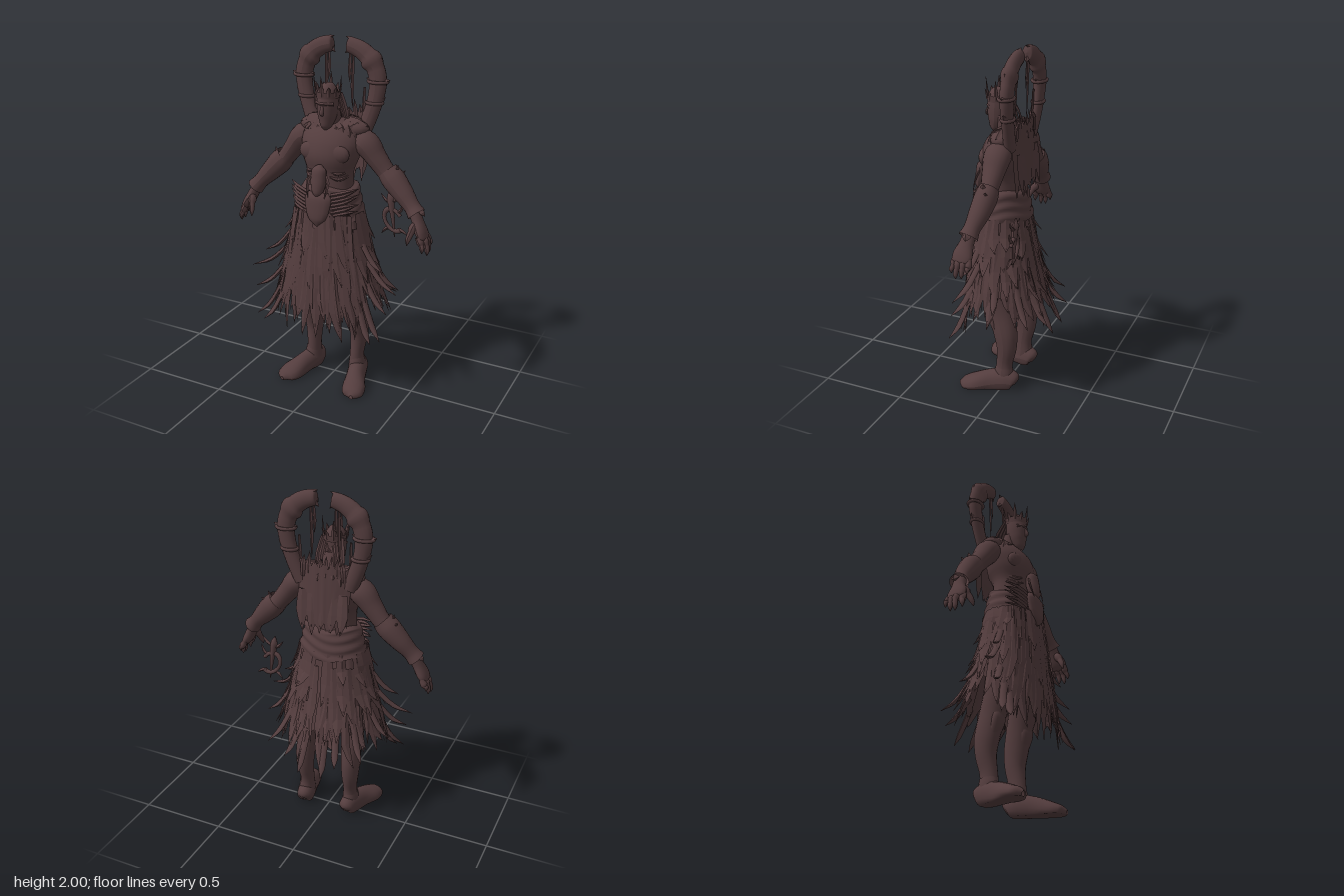
import * as THREE from 'three';

const bark = new THREE.MeshStandardMaterial({ color: 0x543d3e, side: THREE.DoubleSide });
bark.name = 'dark umber';
const X = new THREE.Vector3(1, 0, 0), Z = new THREE.Vector3(0, 0, 1);
let seed = 7;
const rnd = (a = 0, b = 1) => {
  seed = (seed * 16807) % 2147483647;
  return a + (b - a) * seed / 2147483647;
};
const mirror = (s, pts) => pts.map(p => [s * p[0], ...p.slice(1)]);

function add(parent, name, geo) {
  const m = new THREE.Mesh(geo, bark);
  m.name = name;
  parent.add(m);
  return m;
}

// grid surface from a rule (u around, v along)
function surface(fn, nu, nv, flat) {
  const pos = [], idx = [];
  for (let j = 0; j <= nv; j++) for (let i = 0; i <= nu; i++) pos.push(...fn(i / nu, j / nv));
  for (let j = 0; j < nv; j++) for (let i = 0; i < nu; i++) {
    const a = j * (nu + 1) + i, c = a + nu + 1;
    idx.push(a, a + 1, c, a + 1, c + 1, c);
  }
  let g = new THREE.BufferGeometry();
  g.setAttribute('position', new THREE.Float32BufferAttribute(pos, 3));
  g.setIndex(idx);
  if (flat) g = g.toNonIndexed();
  g.computeVertexNormals();
  return g;
}

// elliptical sweep through stations [x, y, z, half width, half depth]
function limb(parent, name, st, side = X, n = 18, flat = false) {
  const path = new THREE.CatmullRomCurve3(st.map(s => new THREE.Vector3(s[0], s[1], s[2])));
  const size = new THREE.CatmullRomCurve3(st.map(s => new THREE.Vector3(s[3], s[4], 0)));
  const nv = (st.length - 1) * (flat ? 2 : 4);
  return add(parent, name, surface((u, v) => {
    const c = path.getPoint(v), t = path.getTangent(v), r = size.getPoint(v);
    const s = side.clone().addScaledVector(t, -side.dot(t)).normalize();
    const nrm = t.clone().cross(s);
    const a = u * Math.PI * 2;
    c.addScaledVector(s, Math.max(r.x, 0) * Math.cos(a)).addScaledVector(nrm, Math.max(r.y, 0) * Math.sin(a));
    return [c.x, Math.max(c.y, 0), c.z];
  }, n, nv, flat));
}

// pointed flat strip
const blade = (parent, name, a, b, c, w, side = X, d = 0.006) =>
  limb(parent, name, [[...a, w * 0.7, d], [...b, w, d], [...c, 0.001, 0.001]], side, 4, true);

function ball(parent, name, p, s) {
  const m = add(parent, name, new THREE.SphereGeometry(1, 18, 12));
  m.position.set(...p);
  m.scale.set(...s);
}

// point on the flaring skirt at angle a (0 = front) and height y: flat in front, pointed behind
function skirtPoint(a, y, out = 0) {
  const t = 1.14 - y, c = Math.cos(a);
  const z = c > 0 ? (0.16 + 0.06 * t + out) * c ** 0.75 : -(0.125 + 0.08 * t + 0.22 * t * t + out) * (-c) ** 1.2;
  return [(0.18 + 0.23 * t + out) * Math.sin(a), y, 0.04 + z];
}

function buildBody(g) {
  limb(g, 'torso', [[0, 1.05, 0.05, 0.16, 0.11], [0, 1.18, 0.05, 0.14, 0.105], [0, 1.28, 0.05, 0.135, 0.102],
    [0, 1.37, 0.045, 0.162, 0.128], [0, 1.44, 0.03, 0.175, 0.122], [0, 1.53, 0.005, 0.15, 0.085], [0, 1.58, 0, 0.06, 0.045]], X, 28);
  limb(g, 'neck', [[0, 1.5, 0.01, 0.085, 0.065], [0, 1.56, 0.03, 0.055, 0.054], [0, 1.63, 0.05, 0.05, 0.05]]);
  limb(g, 'head', [[0, 1.525, 0.105, 0.008, 0.01], [0, 1.545, 0.1, 0.03, 0.032], [0, 1.6, 0.085, 0.05, 0.056],
    [0, 1.67, 0.08, 0.057, 0.063], [0, 1.73, 0.074, 0.054, 0.06], [0, 1.77, 0.068, 0.025, 0.03], [0, 1.775, 0.068, 0.002, 0.002]]);
  limb(g, 'nose', [[0, 1.665, 0.135, 0.007, 0.008], [0, 1.625, 0.148, 0.012, 0.012], [0, 1.61, 0.138, 0.006, 0.006]], X, 8);
  limb(g, 'brow', [[-0.05, 1.67, 0.11, 0.008, 0.01], [0, 1.672, 0.14, 0.009, 0.01], [0.05, 1.67, 0.11, 0.008, 0.01]], Z, 8);
  for (const s of [-1, 1]) {
    ball(g, 'chestMuscle', [s * 0.07, 1.405, 0.12], [0.08, 0.055, 0.035]);
    for (let i = 0; i < 3; i++) {
      limb(g, 'rib', [[s * 0.125, 1.34 - i * 0.03, 0.085, 0.006, 0.008], [s * 0.09, 1.325 - i * 0.03, 0.128, 0.007, 0.01],
        [s * 0.045, 1.34 - i * 0.03, 0.146, 0.004, 0.004]], Z, 8);
    }
    ball(g, 'collarMuscle', [s * 0.1, 1.525, 0.0], [0.105, 0.05, 0.07]);
  }
}

function buildCrown(g) {
  const ring = add(g, 'crownBand', new THREE.CylinderGeometry(0.066, 0.062, 0.035, 20, 1, true));
  ring.position.set(0, 1.715, 0.075);
  ring.scale.z = 1.08;
  for (let i = 0; i < 11; i++) {
    const a = i / 11 * Math.PI * 2, x = Math.sin(a), z = Math.cos(a);
    blade(g, 'crownSpike', [x * 0.064, 1.71, 0.075 + z * 0.068], [x * 0.067, 1.74, 0.075 + z * 0.071],
      [x * 0.075, (i % 3 ? 1.765 : 1.82), 0.075 + z * 0.08], 0.012, new THREE.Vector3(z, 0, -x), 0.005);
  }
  // hair strands and shards behind the head
  for (let i = 0; i < 8; i++) {
    const x = -0.08 + i * 0.023, z = -0.005 + rnd(0, 0.03);
    blade(g, 'hairStrand', [x * 0.7, 1.72, 0.035], [x * 0.95, 1.63, z], [x * 1.2, rnd(1.48, 1.56), z - 0.02], 0.014);
    blade(g, 'backShard', [x * 1.5, 1.52, -0.08], [x * 1.45, 1.59, -0.085], [x * 1.4, rnd(1.61, 1.67), -0.075], 0.016);
  }
}

function buildHorn(g, s) {
  const st = [[0.14, 1.48, -0.05, 0.045], [0.185, 1.59, -0.06, 0.044], [0.214, 1.69, -0.065, 0.046], [0.223, 1.78, -0.068, 0.05],
    [0.204, 1.85, -0.068, 0.052], [0.163, 1.905, -0.066, 0.052], [0.11, 1.94, -0.065, 0.048], [0.05, 1.957, -0.065, 0.042], [0.04, 1.958, -0.065, 0]];
  limb(g, 'horn', st.map(([x, y, z, r]) => [s * x, y, z, r * 0.7, r]), Z, 16);
  for (const [y, r] of [[1.66, 0.05], [1.775, 0.06]]) {
    const band = add(g, 'hornBand', new THREE.TorusGeometry(r * 0.9, 0.01, 6, 18));
    band.position.set(s * (y < 1.7 ? 0.206 : 0.224), y, -0.066);
    band.rotation.x = Math.PI / 2;
    band.scale.y = 0.75;
  }
  for (const [x, y, dx, dy] of [[0.265, 1.78, 0.03, 0.008], [0.25, 1.68, 0.02, 0.015], [0.185, 1.78, -0.03, 0.01],
    [0.235, 1.89, 0.012, 0.015], [0.07, 1.985, -0.035, 0.014], [0.05, 1.93, -0.02, -0.02]])
    blade(g, 'hornSpike', [s * (x - dx * 0.5), y - dy * 0.5, -0.066], [s * x, y, -0.066], [s * (x + dx), Math.min(y + dy, 2), -0.066], 0.018, Z, 0.014);
  // tatters hanging from the horn
  [[0.065, 1.93, 1.76], [0.082, 1.92, 1.62], [0.15, 1.74, 1.53]].forEach(([x, y, e]) =>
    blade(g, 'hornTatter', [s * x, y, -0.06], [s * (x - 0.004), e + (y - e) * 0.4, -0.055], [s * x, e, -0.05], 0.01));
}

function buildArm(g, s) {
  limb(g, 'upperArm', mirror(s, [[0.13, 1.47, 0.0, 0.055, 0.055], [0.19, 1.45, 0.0, 0.076, 0.07], [0.25, 1.38, -0.002, 0.062, 0.058],
    [0.31, 1.305, -0.005, 0.048, 0.05], [0.37, 1.24, 0.0, 0.046, 0.046]]), Z);
  limb(g, 'bracer', mirror(s, [[0.315, 1.31, -0.008, 0.054, 0.06], [0.355, 1.268, -0.005, 0.062, 0.067], [0.42, 1.2, 0.005, 0.056, 0.056],
    [0.475, 1.14, 0.018, 0.045, 0.044], [0.505, 1.105, 0.025, 0.054, 0.05]]), Z);
  for (const [x, y, z, dx, dy, dz] of [[0.37, 1.315, 0, 0.01, 0.04, -0.005], [0.385, 1.29, -0.02, 0.025, 0.03, -0.01],
    [0.33, 1.24, 0.02, -0.02, 0.0, 0.015], [0.535, 1.115, 0.02, 0.015, -0.015, 0]])
    blade(g, 'bracerSpike', [s * (x - dx), y - dy, z], [s * x, y, z], [s * (x + dx), y + dy, z + dz], 0.024, Z, 0.016);
  limb(g, 'palm', mirror(s, [[0.49, 1.12, 0.022, 0.036, 0.032], [0.515, 1.07, 0.03, 0.04, 0.03], [0.543, 1.015, 0.04, 0.056, 0.029],
    [0.56, 0.985, 0.043, 0.05, 0.022], [0.565, 0.97, 0.044, 0.01, 0.006]]), Z);
  for (let i = 0; i < 4; i++) {
    const z = -0.002 + i * 0.029, e = [0.93, 0.9, 0.895, 0.915][i], x = 0.55 + i * 0.003 - (i === 3 ? 0.02 : 0);
    limb(g, 'finger', mirror(s, [[x, 1.0, z, 0.015, 0.015], [x + 0.022, 0.96, z, 0.015, 0.015],
      [x + 0.03, e + 0.025, z * 1.1, 0.013, 0.013], [x + 0.03, e, z * 1.1, 0.002, 0.002]]), Z, 10);
  }
  limb(g, 'thumb', mirror(s, [[0.515, 1.07, 0.045, 0.018, 0.018], [0.5, 1.02, 0.08, 0.018, 0.018],
    [0.49, 0.98, 0.1, 0.014, 0.014], [0.487, 0.95, 0.108, 0.002, 0.002]]), Z, 10);
}

function buildLeg(g, s) {
  limb(g, 'leg', mirror(s, [[0.09, 1.0, 0.04, 0.09, 0.1], [0.11, 0.8, 0.05, 0.09, 0.095], [0.13, 0.62, 0.045, 0.08, 0.088],
    [0.14, 0.48, 0.005, 0.06, 0.077], [0.148, 0.36, -0.022, 0.056, 0.072], [0.148, 0.27, -0.028, 0.05, 0.06],
    [0.143, 0.16, -0.012, 0.04, 0.05], [0.143, 0.08, -0.01, 0.045, 0.055]]));
  limb(g, 'kneeGuard', mirror(s, [[0.14, 0.52, 0.05, 0.03, 0.02], [0.145, 0.45, 0.045, 0.05, 0.033], [0.15, 0.36, 0.02, 0.035, 0.025], [0.15, 0.3, 0.01, 0.004, 0.004]]));
  limb(g, 'boot', mirror(s, [[0.138, 0.035, -0.082, 0.01, 0.02], [0.14, 0.045, -0.068, 0.046, 0.06], [0.148, 0.05, -0.02, 0.054, 0.075],
    [0.174, 0.035, 0.07, 0.056, 0.072], [0.206, 0.02, 0.16, 0.068, 0.055], [0.223, 0.015, 0.21, 0.055, 0.038], [0.228, 0.01, 0.24, 0.01, 0.014]]));
  limb(g, 'bootCuff', mirror(s, [[0.146, 0.14, -0.012, 0.041, 0.05], [0.146, 0.11, -0.01, 0.046, 0.056], [0.146, 0.07, -0.008, 0.05, 0.06]]));
}

function buildSkirt(g) {
  // pleated cloth with a ragged hem
  add(g, 'skirtCloth', surface((u, v) => {
    const a = u * Math.PI * 2;
    const hem = 0.61 + 0.05 * Math.sin(a * 9) + 0.03 * Math.sin(a * 23) - 0.06 * Math.cos(a * 2);
    return skirtPoint(a, 1.14 + (hem - 1.14) * v, 0.012 * v * Math.sin(a * 18) - 0.012);
  }, 144, 10));
  // layered feather strips
  [[1.08, 0.8, 22], [1.0, 0.63, 30], [0.88, 0.48, 34], [0.78, 0.42, 28]].forEach(([y0, y1, n], k) => {
    for (let i = 0; i < n; i++) {
      const a = (i + rnd(0, 0.8)) / n * Math.PI * 2, sideways = Math.abs(Math.sin(a)), front = Math.cos(a) > 0.5;
      const e = y1 + rnd(-0.05, 0.1) + (front ? -0.03 : sideways * 0.08);
      const flare = front ? rnd(0, 0.02) : rnd(0, 0.05);
      blade(g, 'skirtFeather', skirtPoint(a, y0, 0.002), skirtPoint(a + rnd(-0.05, 0.05), y0 + (e - y0) * 0.6, 0.006),
        skirtPoint(a + rnd(-0.1, 0.1), e, flare), rnd(0.018, 0.034) + (k < 2 ? 0.006 : 0), new THREE.Vector3(Math.cos(a), 0, -Math.sin(a)), 0.007);
    }
  });
  // tips curling outward: angle, root height, tip height, reach
  for (const s of [-1, 1]) for (const [a, y0, y1, out] of [[1.35, 0.82, 0.67, 0.18], [1.2, 0.7, 0.56, 0.13], [1.05, 0.6, 0.4, 0.1],
    [0.9, 0.55, 0.38, 0.08], [1.3, 0.92, 0.78, 0.12], [1.9, 0.75, 0.6, 0.1], [2.4, 0.7, 0.5, 0.11], [2.75, 0.62, 0.47, 0.08], [2.95, 0.58, 0.38, 0.02]]) {
    const p = skirtPoint(s * a, y1, out), q = skirtPoint(s * a, y1 + (y0 - y1) * 0.3, out * 0.45);
    limb(g, 'curledFeather', [[...skirtPoint(s * a, y0, -0.005), 0.02, 0.014], [...q, 0.02, 0.012], [...p, 0.001, 0.001]],
      new THREE.Vector3(Math.cos(a), 0, -s * Math.sin(a)), 6);
  }
  // front drape
  for (const [x, w, e] of [[0, 0.05, 0.34], [-0.07, 0.035, 0.42], [0.075, 0.04, 0.38], [-0.13, 0.035, 0.39], [0.14, 0.035, 0.46], [-0.19, 0.03, 0.4], [0.2, 0.03, 0.36]])
    blade(g, 'frontDrape', [x * 0.8, 1.08, 0.195 - x * x], [x, 0.65, 0.232 - x * x], [x * 1.15, e, 0.235 - x * x], w, X, 0.01);
}

function buildBelt(g) {
  // wrinkled waist wrap
  add(g, 'beltWrap', surface((u, v) => {
    const a = u * Math.PI * 2, y = 1.05 + 0.17 * v;
    const r = 0.2 - 0.04 * v + 0.005 * Math.sin(v * 19 + 2 * Math.sin(a * 2)) - (v === 1 ? 0.03 : 0);
    return [r * Math.sin(a), y + 0.012 * Math.cos(a * 3), 0.05 + r * 0.78 * Math.cos(a)];
  }, 48, 16));
  limb(g, 'buckle', [[0, 1.2, 0.185, 0.06, 0.02], [0, 1.16, 0.195, 0.08, 0.03], [0, 1.09, 0.205, 0.068, 0.027], [0, 1.05, 0.21, 0.05, 0.022], [0, 1.01, 0.212, 0.003, 0.004]], X, 14);
  limb(g, 'mask', [[0, 1.35, 0.17, 0.01, 0.01], [0, 1.32, 0.18, 0.042, 0.032], [0, 1.26, 0.185, 0.045, 0.037], [0, 1.2, 0.2, 0.03, 0.027], [0, 1.17, 0.205, 0.005, 0.005]], X, 14);
  for (const s of [-1, 1]) {
    for (let i = 0; i < 7; i++) {
      const y = 1.08 + i * 0.02;
      blade(g, 'beltQuill', [s * 0.07, y - 0.01, 0.185], [s * 0.14, y + 0.01, 0.165], [s * rnd(0.19, 0.215), y + rnd(0.01, 0.04), 0.12], 0.012, Z, 0.01);
    }
    blade(g, 'maskHorn', [s * 0.035, 1.3, 0.18], [s * 0.06, 1.26, 0.195], [s * 0.05, 1.17, 0.22], 0.011);
  }
}

function buildCape(g) {
  add(g, 'backPanel', surface((u, v) => {
    const x = (u - 0.5) * 2, hem = 1.25 + 0.035 * Math.sin(u * 31) + 0.02 * Math.sin(u * 57);
    const top = 1.6 + 0.015 * Math.sin(u * 43);
    return [x * (0.165 - 0.03 * v), top + (hem - top) * v, -0.095 + 0.035 * x * x - 0.018 * v];
  }, 40, 8));
  for (const x of [-0.12, -0.06, 0, 0.06, 0.12])
    blade(g, 'capeTatter', [x, 1.45, -0.09], [x, 1.33, -0.103], [x * 0.95, rnd(1.18, 1.25), -0.115], 0.035);
  // ragged fur collar
  for (let i = 0; i < 26; i++) {
    const a = (i + 0.5) / 26 * Math.PI * 2, x = Math.sin(a), z = Math.cos(a), y = 1.545 - 0.035 * Math.max(z, 0);
    blade(g, 'collarTuft', [x * 0.08, y + 0.03, z * 0.05], [x * 0.15, y + 0.02, 0.005 + z * 0.085],
      [x * rnd(0.18, 0.21), y - rnd(0, 0.05), 0.005 + z * rnd(0.1, 0.12)], 0.026, new THREE.Vector3(z, 0, -x), 0.013);
  }
}

function buildCharm(g) {
  const ring = add(g, 'charmRing', new THREE.TorusGeometry(0.05, 0.011, 8, 20, 4.9));
  ring.position.set(0.3, 0.98, -0.14);
  ring.scale.y = 1.4;
  ring.rotation.z = 0.6;
  limb(g, 'charmHandle', [[0.27, 1.15, -0.14, 0.004, 0.004], [0.28, 1.1, -0.14, 0.022, 0.018], [0.295, 1.0, -0.14, 0.013, 0.012], [0.31, 0.88, -0.14, 0.003, 0.003]], X, 8);
  for (const [x, y, dx, dy] of [[0.29, 1.09, 0.065, 0.06], [0.28, 1.08, -0.06, 0.05], [0.33, 1.03, 0.03, 0.06], [0.27, 0.93, -0.04, -0.04], [0.33, 0.93, 0.06, -0.03]])
    blade(g, 'charmSpike', [x, y, -0.14], [x + dx * 0.5, y + dy * 0.3, -0.14], [x + dx, y + dy, -0.14], 0.012, Z, 0.01);
}

export function createModel() {
  const model = new THREE.Group();
  const part = (name, build, ...args) => {
    const g = new THREE.Group();
    g.name = name;
    build(g, ...args);
    model.add(g);
  };
  part('body', buildBody);
  part('crown', buildCrown);
  for (const [s, label] of [[1, 'left'], [-1, 'right']]) {
    part(label + 'Horn', buildHorn, s);
    part(label + 'Arm', buildArm, s);
    part(label + 'Leg', buildLeg, s);
  }
  part('skirt', buildSkirt);
  part('belt', buildBelt);
  part('cape', buildCape);
  part('hipCharm', buildCharm);
  return model;
}
